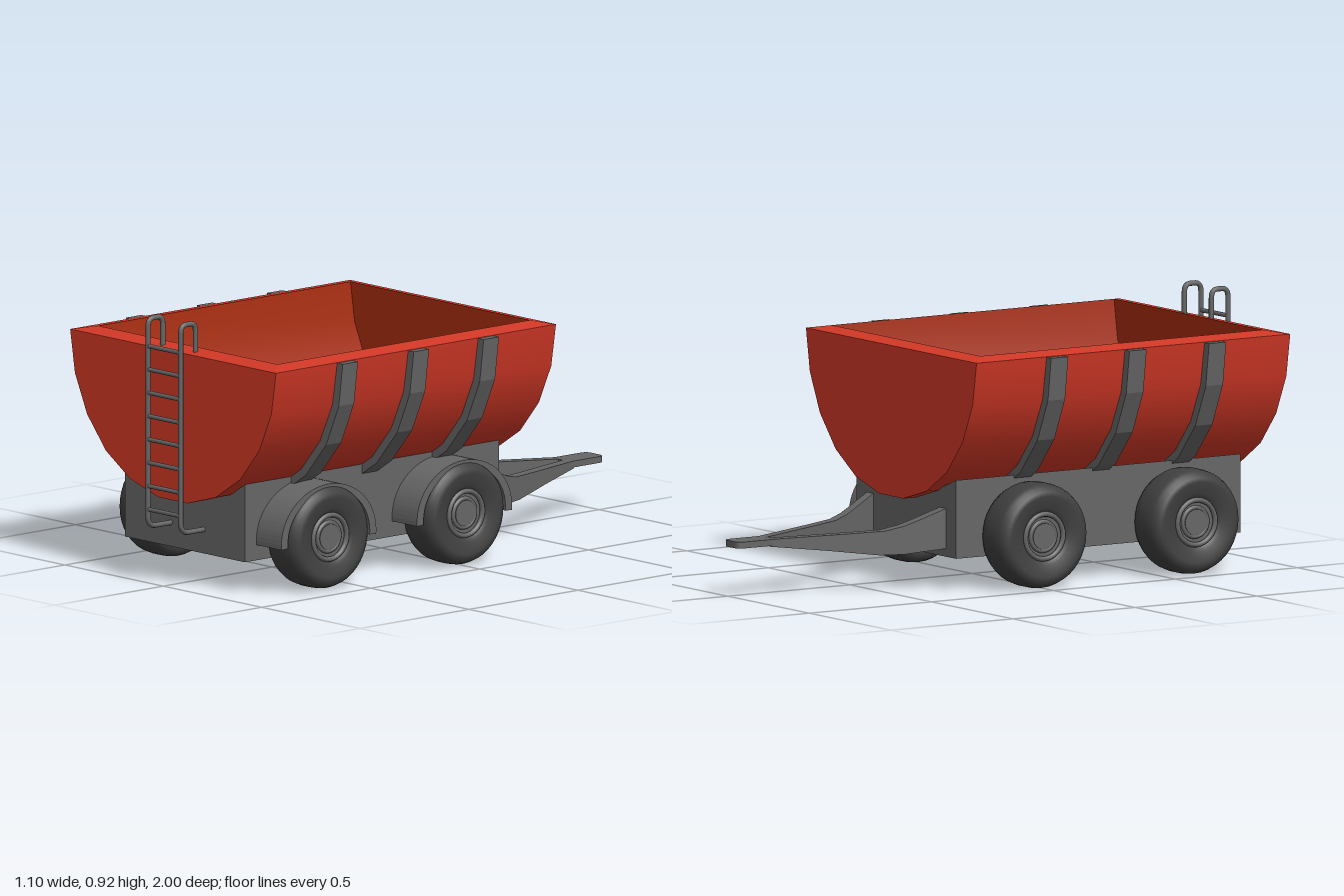
import * as THREE from 'three';

const mat = (name, color, side = THREE.FrontSide) => {
  const m = new THREE.MeshStandardMaterial({ color, side });
  m.name = name;
  return m;
};

// Mirror a half profile (x > 0, top to bottom) into a full one running from -x to +x
const fullProfile = half => [
  ...half.map(([x, y]) => [-x, y]),
  ...half.slice().reverse(),
];

const shapeOf = pts => new THREE.Shape(pts.map(p => new THREE.Vector2(...p)));

// Smooth surface joining two rows of points
function loft(rowA, rowB) {
  const n = rowA.length, index = [];
  for (let i = 0; i < n - 1; i++) index.push(i, i + 1, n + i + 1, i, n + i + 1, n + i);
  const g = new THREE.BufferGeometry();
  g.setAttribute('position', new THREE.Float32BufferAttribute([...rowA, ...rowB].flat(), 3));
  g.setIndex(index);
  g.computeVertexNormals();
  return g;
}

// Extrude an outline drawn in x/y between two z positions
function slab(pts, z0, z1) {
  const g = new THREE.ExtrudeGeometry(shapeOf(pts), { depth: z1 - z0, bevelEnabled: false });
  return g.translate(0, 0, z0);
}

export function createModel() {
  const red = mat('hopper red', 0xd23826, THREE.DoubleSide);
  const rust = mat('hopper interior', 0xa52c0e, THREE.DoubleSide);
  const steel = mat('grey steel', 0x666666);
  const rubber = mat('tyre rubber', 0x404040);

  const model = new THREE.Group();
  const add = (name, geo, material, parent = model) => {
    const m = new THREE.Mesh(geo, material);
    m.name = name;
    parent.add(m);
    return m;
  };
  const cx = -0.018; // centre line of the undercarriage

  // Hopper: outer skin, inner skin, end walls and sloping rim
  const halfOuter = [[0.523, 0.81], [0.499, 0.662], [0.437, 0.527], [0.341, 0.414], [0.217, 0.334], [0.073, 0.292]];
  const outer = fullProfile(halfOuter);
  const halfInner = halfOuter.map(([x, y]) => [x * 0.87, 0.35 + (y - 0.292) * 0.472 / 0.518]);
  const inner = fullProfile(halfInner);
  const [zb, zf, ib, jf] = [-0.33, 0.955, -0.27, 0.887];
  const row = (pts, z) => pts.map(([x, y]) => [x, y, z]);

  const hopper = new THREE.Group();
  hopper.name = 'hopper';
  model.add(hopper);
  add('hopperSkin', loft(row(outer, zb), row(outer, zf)), red, hopper);
  add('hopperLining', loft(row(inner, jf), row(inner, ib)), rust, hopper);
  for (const [name, pts, z, turn, m] of [
    ['frontWall', outer, zf, false, red], ['backWall', outer, zb, true, red],
    ['liningFront', inner, jf, true, rust], ['liningBack', inner, ib, false, rust],
  ]) {
    const g = new THREE.ShapeGeometry(shapeOf(pts));
    if (turn) g.rotateY(Math.PI);
    add(name, g.translate(0, 0, z), m, hopper);
  }
  const ring = (x, y, z0, z1) => [[-x, y, z0], [-x, y, z1], [x, y, z1], [x, y, z0]];
  const rimOut = ring(0.523, 0.81, zb, zf);
  const rimIn = ring(halfInner[0][0], 0.822, ib, jf);
  for (let i = 0; i < 4; i++) {
    const j = (i + 1) % 4;
    add('rim', loft([rimOut[i], rimOut[j]], [rimIn[i], rimIn[j]]), red, hopper);
  }

  // Ribs hugging both flanks of the hopper
  const ribOuter = [[0.551, 0.808], [0.531, 0.659], [0.466, 0.515], [0.362, 0.394], [0.225, 0.306]];
  const ribInner = halfOuter.slice(0, 5).map(([x, y]) => [x - 0.006, y - 0.002]).reverse();
  for (const z of [0.639, 0.313, -0.008])
    for (const s of [1, -1]) {
      const pts = [...ribOuter, ...ribInner].map(([x, y]) => [s * x, y]);
      add('rib', slab(pts, z - 0.035, z + 0.035), steel);
    }

  // Chassis with a top that cradles the hopper
  add('chassis', slab([
    [-0.323, 0.11], [0.288, 0.11], [0.288, 0.38], [0.217, 0.34], [0.073, 0.298],
    [-0.073, 0.298], [-0.217, 0.34], [-0.323, 0.38],
  ], -0.28, 0.885), steel);

  // Wheels: lathed around y, then laid on their side
  const tyreProfile = [
    [0.085, -0.06], [0.1, -0.07], [0.14, -0.0775], [0.155, -0.075], [0.17, -0.064], [0.178, -0.045], [0.181, -0.02],
    [0.181, 0.02], [0.178, 0.045], [0.17, 0.064], [0.155, 0.075], [0.14, 0.0775], [0.1, 0.07], [0.085, 0.06],
  ].map(p => new THREE.Vector2(...p));
  const tyreGeo = new THREE.LatheGeometry(tyreProfile, 40);
  const rimGeo = new THREE.CylinderGeometry(0.086, 0.086, 0.1, 32);
  const rimRing = new THREE.TorusGeometry(0.077, 0.009, 8, 32).rotateX(Math.PI / 2).translate(0, 0.06, 0);
  const hubRing = new THREE.TorusGeometry(0.05, 0.008, 8, 32).rotateX(Math.PI / 2).translate(0, 0.052, 0);
  const hubGeo = new THREE.CylinderGeometry(0.045, 0.05, 0.12, 24);
  for (const z of [0.615, -0.008])
    for (const s of [1, -1]) {
      const wheel = new THREE.Group();
      wheel.name = 'wheel';
      wheel.position.set(cx + s * 0.378, 0.181, z);
      wheel.rotation.z = -s * Math.PI / 2;
      add('tyre', tyreGeo, rubber, wheel);
      add('wheelDisc', rimGeo, steel, wheel);
      add('wheelRim', rimRing, steel, wheel);
      add('hubRing', hubRing, steel, wheel);
      add('hub', hubGeo, steel, wheel);
      model.add(wheel);
    }

  // Flattened mudguards over the wheels on the +x side
  const guard = new THREE.Shape();
  guard.absellipse(0, 0, 0.218, 0.187, -0.08, Math.PI + 0.08, false);
  guard.absellipse(0, 0, 0.188, 0.165, Math.PI + 0.08, -0.08, true);
  for (const z of [0.615, -0.008]) {
    const g = new THREE.ExtrudeGeometry(guard, { depth: 0.135, bevelEnabled: false, curveSegments: 20 });
    g.rotateY(Math.PI / 2).translate(0.28, 0.178, z);
    add('mudguard', g, steel);
  }

  // Drawbar arms: side profile extruded, then sheared toward the centre line
  const armProfile = [
    [0.27, 0.139], [0.42, 0.123], [0.5, 0.123], [0.68, 0.146], [0.86, 0.166], [0.86, 0.192],
    [0.6, 0.201], [0.48, 0.206], [0.42, 0.22], [0.37, 0.239], [0.27, 0.28],
  ];
  for (const s of [1, -1]) {
    const g = slab(armProfile, -0.02, 0.02).rotateY(Math.PI / 2);
    const p = g.attributes.position;
    for (let i = 0; i < p.count; i++)
      p.setX(i, p.getX(i) + cx + s * (0.028 + 0.342 * (p.getZ(i) + 0.85)));
    g.computeVertexNormals();
    add('drawbarArm', g, steel);
  }

  // Flat hitch tongue with rounded tip
  const tongue = new THREE.Shape();
  tongue.moveTo(-0.047, 0.84);
  tongue.lineTo(0.047, 0.84);
  tongue.lineTo(0.047, 0.97);
  tongue.quadraticCurveTo(0.047, 1, 0.02, 1);
  tongue.lineTo(-0.02, 1);
  tongue.quadraticCurveTo(-0.047, 1, -0.047, 0.97);
  const tg = new THREE.ExtrudeGeometry(tongue, { depth: 0.022, bevelEnabled: false });
  add('hitchTongue', tg.rotateX(-Math.PI / 2).translate(cx, 0.17, 0), steel);

  // Ladder: bent rails and straight rungs
  const v = (y, z) => new THREE.Vector3(0, y, z);
  const rail = new THREE.CurvePath();
  const bend = (a, b, c) => rail.add(new THREE.QuadraticBezierCurve3(a, b, c));
  const line = (a, b) => rail.add(new THREE.LineCurve3(a, b));
  line(v(0.193, 0.87), v(0.193, 0.955));
  bend(v(0.193, 0.955), v(0.193, 0.99), v(0.23, 0.99));
  line(v(0.23, 0.99), v(0.885, 0.99));
  bend(v(0.885, 0.99), v(0.915, 0.99), v(0.915, 0.965));
  line(v(0.915, 0.965), v(0.915, 0.945));
  bend(v(0.915, 0.945), v(0.915, 0.922), v(0.885, 0.922));
  line(v(0.885, 0.922), v(0.812, 0.922));
  const railGeo = new THREE.TubeGeometry(rail, 120, 0.009, 10);
  const ladder = new THREE.Group();
  ladder.name = 'ladder';
  ladder.position.x = -0.006;
  model.add(ladder);
  for (const s of [1, -1]) add('ladderRail', railGeo, steel, ladder).position.x = s * 0.083;
  const rungGeo = new THREE.CylinderGeometry(0.0075, 0.0075, 0.166, 10).rotateZ(Math.PI / 2);
  for (let i = 0; i < 8; i++) add('ladderRung', rungGeo, steel, ladder).position.set(0, 0.253 + i * 0.081, 0.99);

  return model;
}
